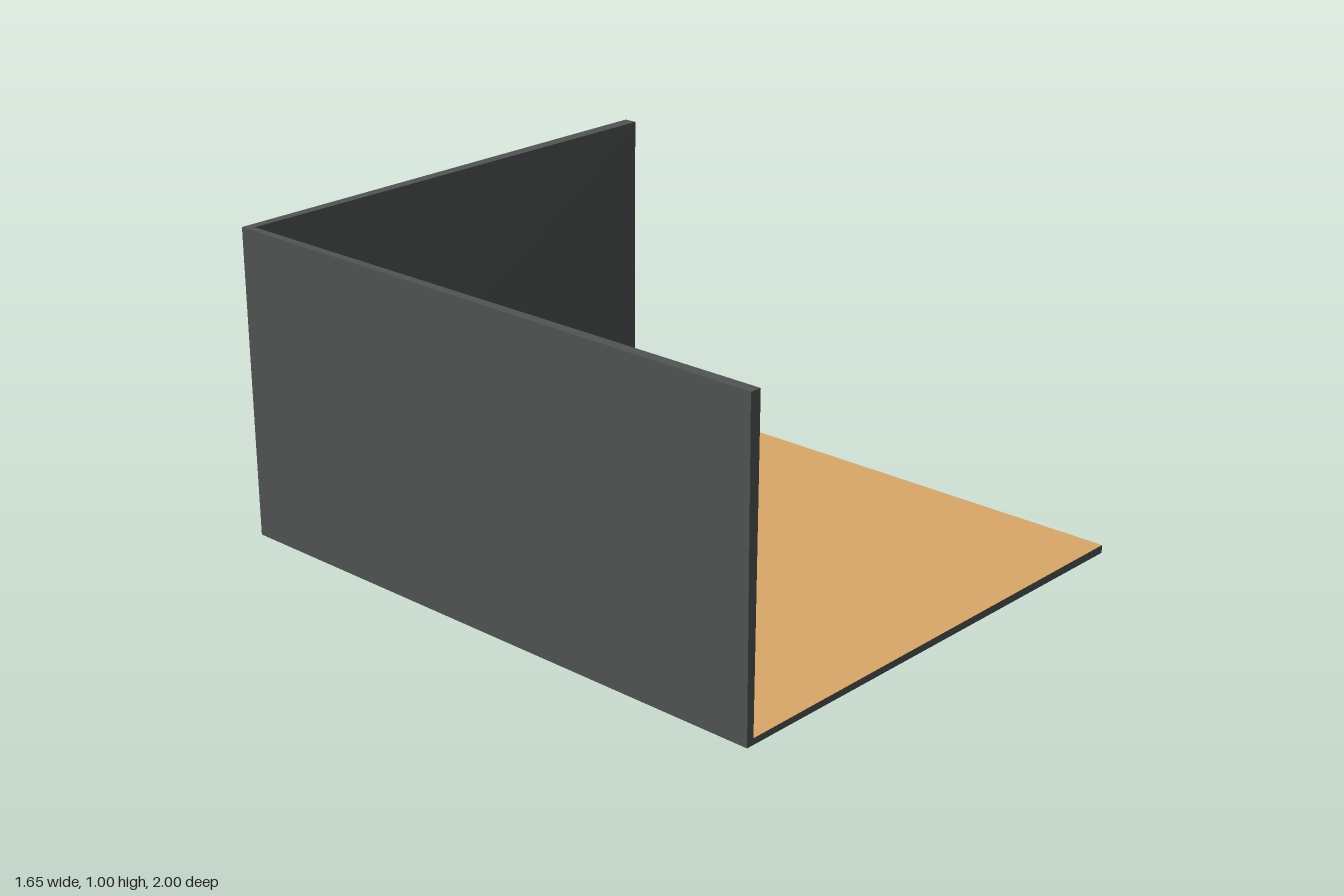
import * as THREE from 'three';

const material = (color) => new THREE.MeshStandardMaterial({ color, flatShading: true });

// Mesh from four-cornered faces, corners counter-clockwise seen from outside
function quads(name, faces, mat) {
  const points = faces.flatMap(([a, b, c, d]) => [a, b, c, a, c, d]).flat();
  const geometry = new THREE.BufferGeometry();
  geometry.setAttribute('position', new THREE.Float32BufferAttribute(points, 3));
  geometry.computeVertexNormals();
  const mesh = new THREE.Mesh(geometry, mat);
  mesh.name = name;
  return mesh;
}

// Faces of a skewed block between a bottom and a top ring (front left, front right, back right, back left)
function blockFaces(bottom, top) {
  const sides = bottom.map((p, i) => {
    const j = (i + 1) % 4;
    return [p, bottom[j], top[j], top[i]];
  });
  return [[...bottom].reverse(), ...sides];
}

function box(name, [w, h, d], [x, y, z], mat) {
  const mesh = new THREE.Mesh(new THREE.BoxGeometry(w, h, d), mat);
  mesh.position.set(x, y, z);
  mesh.name = name;
  return mesh;
}

// Frame with two mullions and three panes; local x = 0 is the room-side face
function createWindow() {
  const group = new THREE.Group();
  group.name = 'window';
  const frameMat = material(0x777777);
  const paneMat = material(0xcccccc);
  const width = 1.18, height = 0.545, depth = 0.028, rim = 0.009, mullion = 0.026;

  for (const s of [-1, 1]) {
    group.add(box('frameRail', [depth, rim, width], [-depth / 2, s * (height - rim) / 2, 0], frameMat));
    group.add(box('frameStile', [depth, height - 2 * rim, rim],
      [-depth / 2, 0, s * (width - rim) / 2], frameMat));
    group.add(box('mullion', [depth, height - 2 * rim, mullion], [-depth / 2, 0, s * 0.197], frameMat));
  }
  const paneWidth = 0.369;
  for (const i of [-1, 0, 1]) {
    group.add(box('pane', [0.012, height - 2 * rim, paneWidth], [-0.013, 0, i * 0.392], paneMat));
  }
  group.position.set(-0.782, 0.5125, 0.11);
  group.rotation.y = 0.006;
  return group;
}

export function createModel() {
  const room = new THREE.Group();
  room.name = 'roomCorner';
  const wallMat = material(0x505453);
  const floorMat = material(0xd9a868);
  const X = 0.825;

  // Slightly out-of-true inner corners of the room
  const frontLow = [-0.80, 0.02, 1], frontHigh = [-0.788, 1, 1];
  const cornerLow = [-0.80, 0.016, -0.97], cornerHigh = [-0.80, 1, -0.97];
  const endLow = [X, 0.016, -0.965], endHigh = [X, 1, -0.955];
  const floorFront = [X, 0.026, 1];
  const ground = ([x, , z]) => [x, 0, z];

  // Floor slab and its coloured surface
  const floorTop = [frontLow, floorFront, endLow, cornerLow];
  room.add(quads('floorSlab', blockFaces(floorTop.map(ground), floorTop), wallMat));
  room.add(quads('floorSurface', [floorTop], floorMat));

  // Side wall, full depth
  const sideTop = [[-X, 1, 1], frontHigh, cornerHigh, [-X, 1, -0.97]];
  const sideBottom = [[-X, 0, 1], ground(frontLow), ground(cornerLow), [-X, 0, -0.97]];
  room.add(quads('sideWall', [...blockFaces(sideBottom, sideTop), sideTop], wallMat));

  // Back wall, with the corner post closing the outer corner
  const backTop = [cornerHigh, endHigh, [X, 1, -1], [-0.80, 1, -1]];
  const backBottom = [ground(cornerLow), ground(endLow), [X, 0, -1], [-0.80, 0, -1]];
  room.add(quads('backWall', [...blockFaces(backBottom, backTop), backTop], wallMat));
  room.add(box('cornerPost', [X - 0.80, 1, 0.03], [-(X + 0.80) / 2, 0.5, -0.985], wallMat));

  room.add(createWindow());
  return room;
}
